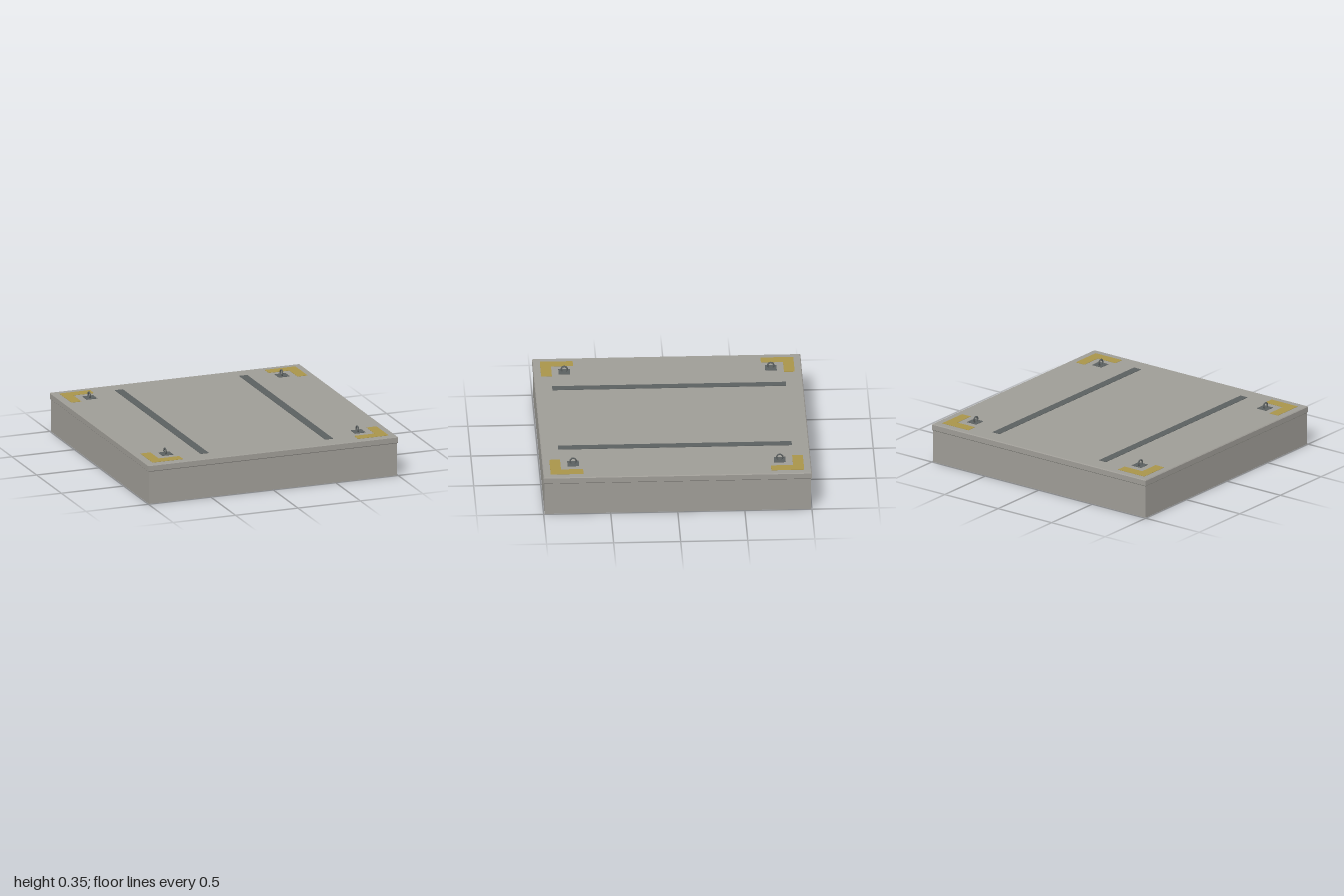
import * as THREE from 'three';

const material = (name, color) => {
  const m = new THREE.MeshStandardMaterial({ color });
  m.name = name;
  return m;
};

export function createModel() {
  const concrete = material('concrete grey', 0x9e9c96);
  const yellow = material('faded yellow', 0xa8944a);
  const steel = material('dark steel', 0x5b6060);
  const model = new THREE.Group();
  model.name = 'concreteSlab';

  const add = (name, geometry, mat, x, y, z, parent = model) => {
    const mesh = new THREE.Mesh(geometry, mat);
    mesh.name = name;
    mesh.position.set(x, y, z);
    parent.add(mesh);
    return mesh;
  };

  // Slab body
  add('body', new THREE.BoxGeometry(1.986, 0.26, 1.986), concrete, 0, 0.13, 0);

  // Overhanging cap with a fine chamfer on its upper edge
  const bevel = 0.006, half = 1 - bevel;
  const square = new THREE.Shape([
    new THREE.Vector2(-half, -half), new THREE.Vector2(half, -half),
    new THREE.Vector2(half, half), new THREE.Vector2(-half, half),
  ]);
  const capGeometry = new THREE.ExtrudeGeometry(square, {
    depth: 0.052 - 2 * bevel, bevelEnabled: true, bevelSegments: 1,
    bevelSize: bevel, bevelThickness: bevel,
  });
  capGeometry.rotateX(-Math.PI / 2);
  add('cap', capGeometry, concrete, 0, 0.25 + bevel, 0);

  // Two long strips let into the top
  const stripGeometry = new THREE.BoxGeometry(0.064, 0.006, 1.742);
  for (const x of [-0.498, 0.498]) add('topStrip', stripGeometry, steel, x, 0.302, 0);

  // Corner markings and lifting eyes
  const markGeometry = new THREE.ExtrudeGeometry(new THREE.Shape([
    [0.945, 0.945], [0.7, 0.945], [0.7, 0.865], [0.865, 0.865], [0.865, 0.7], [0.945, 0.7],
  ].map(([x, y]) => new THREE.Vector2(x, y))), { depth: 0.004, bevelEnabled: false });
  markGeometry.rotateX(-Math.PI / 2);
  const plateGeometry = new THREE.BoxGeometry(0.086, 0.006, 0.086);
  const ringGeometry = new THREE.TorusGeometry(0.022, 0.006, 8, 20).rotateY(Math.PI / 2);

  for (let i = 0; i < 4; i++) {
    const corner = new THREE.Group();
    corner.name = 'corner';
    corner.rotation.y = i * Math.PI / 2;
    model.add(corner);
    add('cornerMarking', markGeometry, yellow, 0, 0.3, 0, corner);
  }
  for (const x of [-0.77, 0.77]) for (const z of [-0.77, 0.77]) {
    const eye = new THREE.Group();
    eye.name = 'liftingEye';
    eye.position.set(x, 0, z);
    model.add(eye);
    add('eyePlate', plateGeometry, steel, 0, 0.302, 0, eye);
    add('eyeRing', ringGeometry, steel, -0.006, 0.323, 0, eye);
  }
  return model;
}
